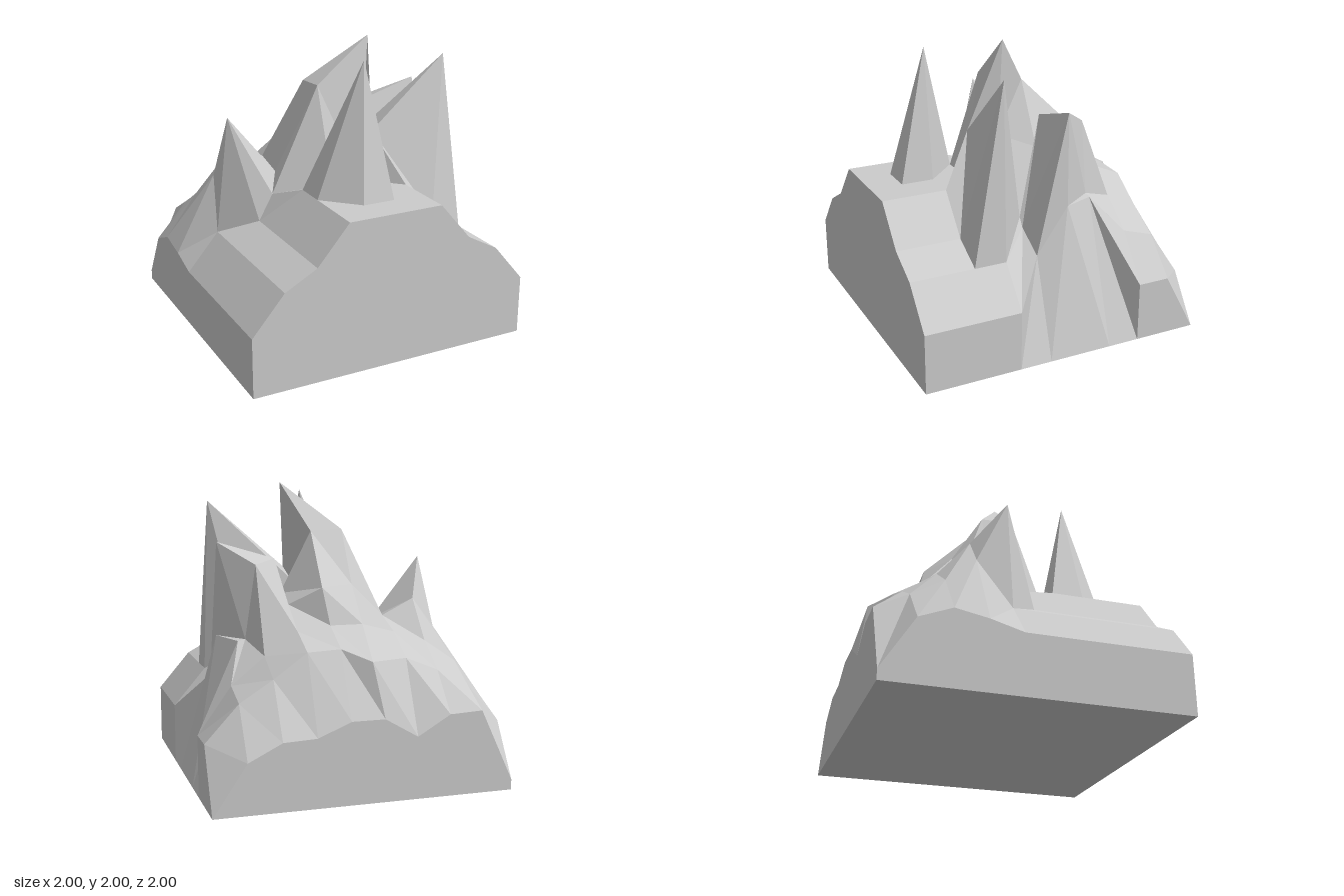
import * as THREE from 'three';

const N = 10;

// Terrain heights: rows run from back (z = -1) to front (z = 1), columns from x = -1 to x = 1
const HEIGHTS = [
  [0.07, 0.55, 0.54, 0.41, 0.54, 0.54, 0.45, 0.44, 0.33, 0],
  [0.42, 0.67, 0.79, 0.88, 0.89, 0.96, 0.95, 0.79, 0.65, 0.41],
  [0.51, 0.80, 0.95, 1.02, 1.08, 1.08, 1.05, 0.90, 0.72, 0.41],
  [0.47, 1.01, 1.21, 1.10, 1.32, 1.32, 1.20, 1.47, 0.98, 0.97],
  [0.41, 0.67, 1.48, 1.05, 1.68, 1.67, 1.25, 1.49, 1.61, 0.98],
  [0.41, 0.67, 0.79, 0.97, 1.69, 2.00, 1.33, 0.85, 0.79, 0.67],
  [0.41, 0.67, 0.79, 1.05, 1.05, 1.05, 1.39, 1.87, 0.67, 0.41],
  [0.41, 0.67, 0.79, 1.05, 1.94, 1.05, 1.05, 0.79, 0.67, 0.41],
  [0.41, 0.67, 0.79, 1.05, 1.05, 1.05, 1.05, 0.79, 0.67, 0.41],
  [0.41, 0.67, 0.79, 1.05, 1.05, 1.05, 1.05, 0.79, 0.67, 0.41],
];

// Sideways shifts of single points, keyed "column,row": [x, z]
const SHIFTED = {
  '4,7': [0, 0.555],
  '6,6': [0.19, 0.333],
  '7,6': [0.74, 0.333],
  '3,5': [-0.455, 0.111],
  '5,5': [0.27, 0.111],
  '6,5': [0.2, 0.111],
  '7,5': [0.53, 0.111],
  '8,5': [0.57, 0.111],
  '9,5': [0.78, 0.111],
  '2,4': [-0.68, -0.111],
  '7,4': [0.37, -0.111],
  '8,4': [0.77, -0.111],
  '9,4': [0.78, -0.111],
  '1,3': [-0.71, -0.333],
  '5,3': [0.14, -0.47],
  '8,3': [0.63, -0.333],
  '9,3': [0.68, -0.333],
  '4,1': [-0.06, -0.9],
};

const at = (k) => -1 + (2 * k) / (N - 1);

function point(i, j) {
  const [x, z] = SHIFTED[`${i},${j}`] ?? [at(i), at(j)];
  return [x, HEIGHTS[j][i], z];
}

// Rim point on the ground, always on the straight edge of the base
const foot = (i, j) => [at(i), 0, at(j)];

function meshFrom(triangles, name, material) {
  const geometry = new THREE.BufferGeometry();
  geometry.setAttribute('position', new THREE.Float32BufferAttribute(triangles.flat(2), 3));
  geometry.computeVertexNormals();
  const mesh = new THREE.Mesh(geometry, material);
  mesh.name = name;
  return mesh;
}

export function createModel() {
  const group = new THREE.Group();
  group.name = 'mountainTerrain';
  const material = new THREE.MeshStandardMaterial({ color: 0xcccccc, flatShading: true });

  // Faceted mountain surface: two triangles per grid cell
  const surface = [];
  for (let j = 0; j < N - 1; j++) {
    for (let i = 0; i < N - 1; i++) {
      const a = point(i, j), b = point(i, j + 1), c = point(i + 1, j + 1), d = point(i + 1, j);
      surface.push([a, b, c], [a, c, d]);
    }
  }
  group.add(meshFrom(surface, 'mountainSurface', material));

  // Side walls from the rim to the ground, each split from its higher corner
  const walls = [];
  const addWall = (pCell, qCell) => {
    const p = point(...pCell), q = point(...qCell);
    const pFoot = foot(...pCell), qFoot = foot(...qCell);
    if (p[1] >= q[1]) {
      walls.push([p, pFoot, qFoot]);
      if (q[1] > 0) walls.push([p, qFoot, q]);
    } else {
      walls.push([q, pFoot, qFoot]);
      if (p[1] > 0) walls.push([p, pFoot, q]);
    }
  };
  const last = N - 1;
  for (let k = 0; k < last; k++) {
    addWall([k, last], [k + 1, last]); // front
    addWall([k + 1, 0], [k, 0]); // back
    addWall([0, k], [0, k + 1]); // right
    addWall([last, k + 1], [last, k]); // left
  }
  group.add(meshFrom(walls, 'sideWalls', material));

  // Flat underside
  const underside = new THREE.Mesh(new THREE.PlaneGeometry(2, 2).rotateX(Math.PI / 2), material);
  underside.name = 'underside';
  group.add(underside);

  return group;
}
